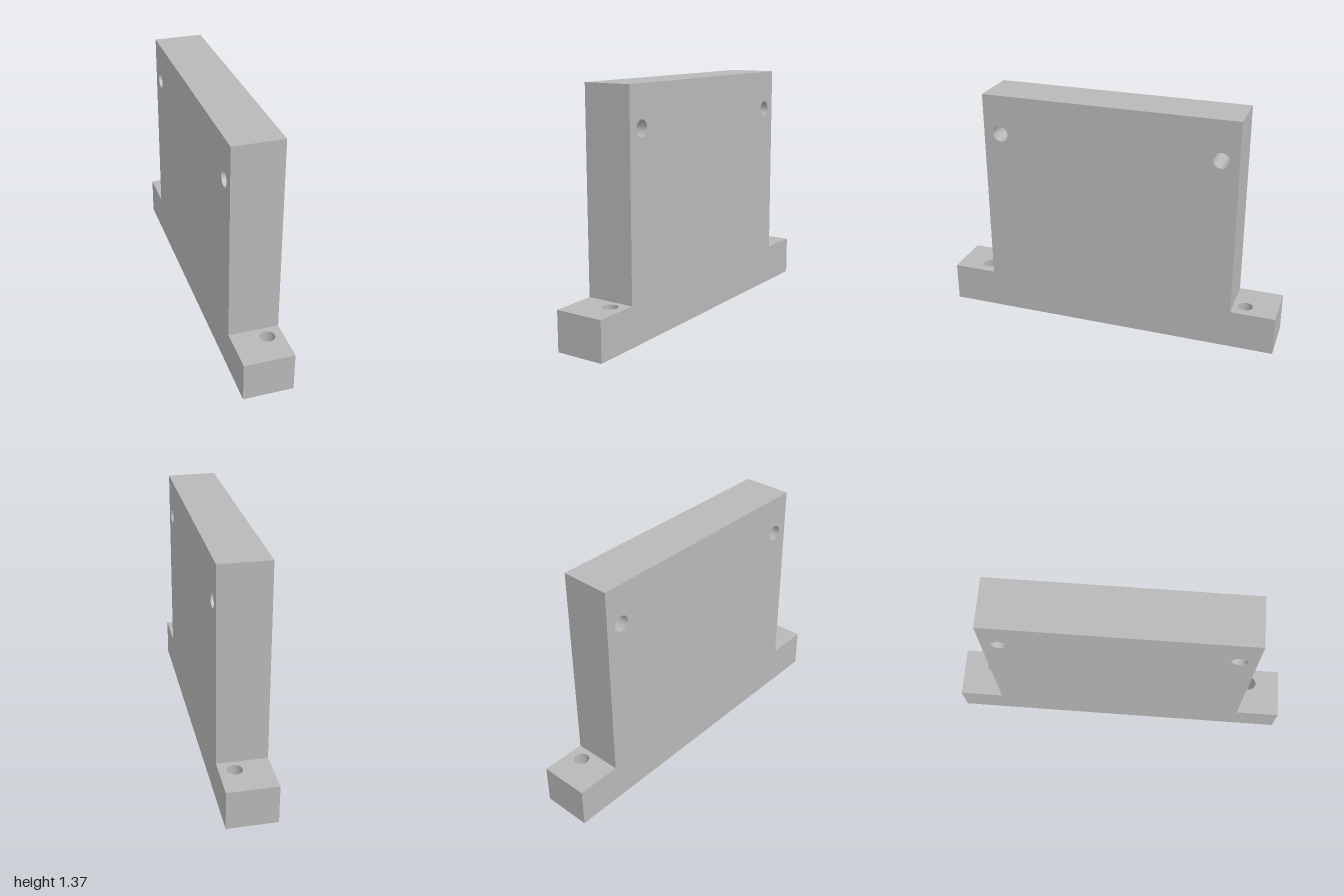
import * as THREE from 'three';
import { toCreasedNormals } from 'three/addons/utils/BufferGeometryUtils.js';

const WIDTH = 0.286;       // thickness along x
const HEIGHT = 1.374;
const FOOT_HEIGHT = 0.229;
const PLATE_Z = 0.743;     // half length of the upright plate
const BASE_Z = 1;          // half length including the feet

// Rectangle with round through holes, extruded to the given depth
function drilledBlock(u0, v0, u1, v1, holes, depth) {
  const shape = new THREE.Shape();
  shape.moveTo(u0, v0);
  shape.lineTo(u1, v0);
  shape.lineTo(u1, v1);
  shape.lineTo(u0, v1);
  shape.closePath();
  for (const [u, v, r] of holes) {
    const hole = new THREE.Path();
    hole.absarc(u, v, r, 0, Math.PI * 2, true);
    shape.holes.push(hole);
  }
  const geometry = new THREE.ExtrudeGeometry(shape, { depth, bevelEnabled: false, curveSegments: 32 });
  return toCreasedNormals(geometry, Math.PI / 6);
}

export function createModel() {
  const group = new THREE.Group();
  group.name = 'mountingBracket';
  const grey = new THREE.MeshStandardMaterial({ color: 0xb8b8b8 });
  grey.name = 'grey';

  // Upright plate, drilled sideways near both upper corners
  const plateHoles = [-1, 1].map((side) => [side * 0.643, 1.146, 0.045]);
  const plate = new THREE.Mesh(drilledBlock(-PLATE_Z, 0, PLATE_Z, HEIGHT, plateHoles, WIDTH), grey);
  plate.geometry.rotateY(-Math.PI / 2).translate(WIDTH / 2, 0, 0);
  plate.name = 'uprightPlate';
  group.add(plate);

  // Feet, each drilled vertically off centre
  for (const side of [-1, 1]) {
    const near = side > 0 ? -BASE_Z : PLATE_Z;
    const far = side > 0 ? -PLATE_Z : BASE_Z;
    const foot = new THREE.Mesh(
      drilledBlock(-WIDTH / 2, near, WIDTH / 2, far, [[0.055, -side * 0.814, 0.042]], FOOT_HEIGHT),
      grey
    );
    foot.geometry.rotateX(-Math.PI / 2);
    foot.name = side > 0 ? 'frontFoot' : 'backFoot';
    group.add(foot);
  }
  return group;
}
